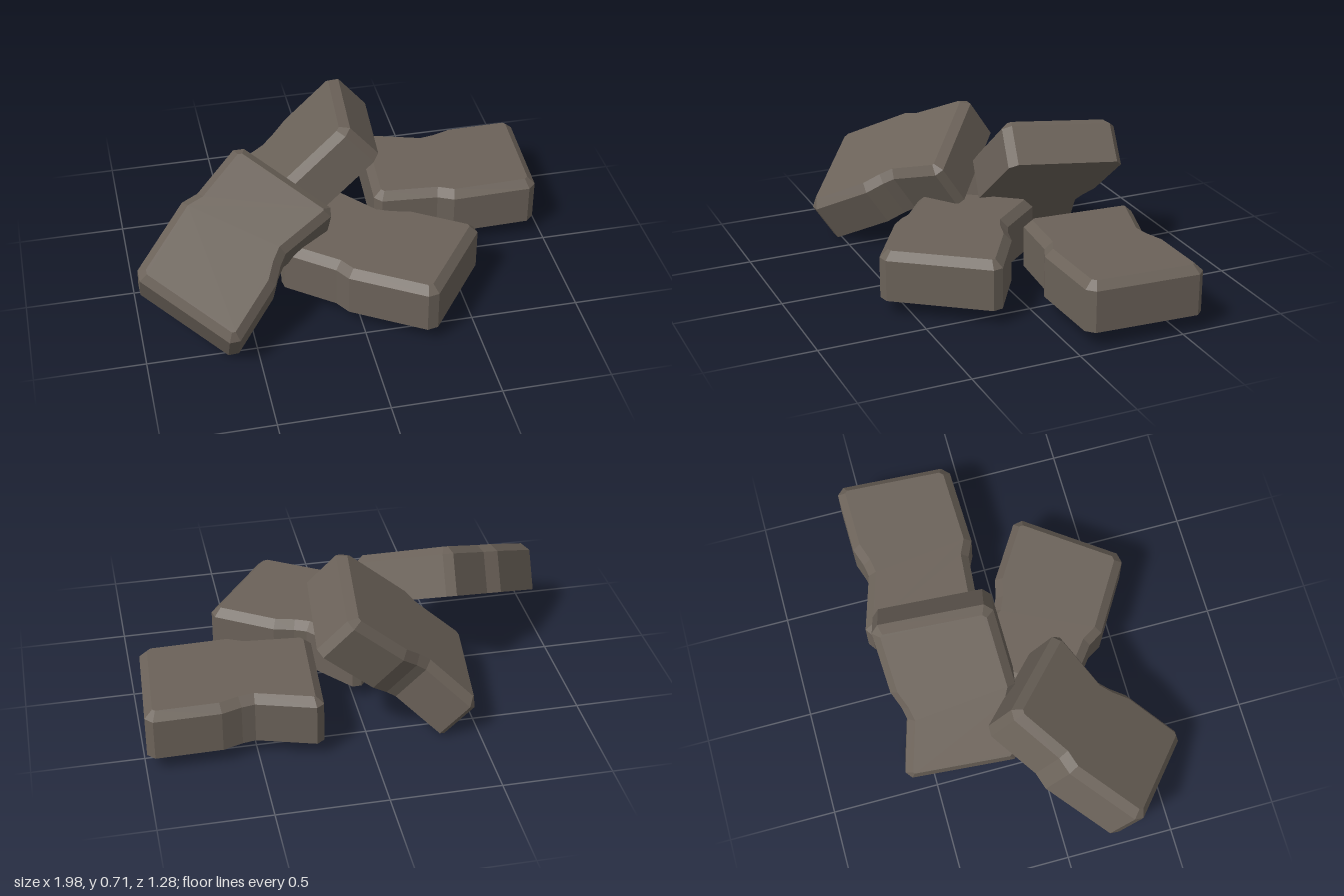
import * as THREE from 'three';

const THICK = 0.23, BEVEL = 0.036, CHAMFER = 0.035;

// Worn brick outline (x, z); the four true corners carry a chamfer flag.
const OUTLINE = [
  [-0.375, -0.315, 1], [-0.08, -0.225], [-0.02, -0.235], [0.07, -0.265], [0.405, -0.27, 1],
  [0.375, 0.285, 1], [-0.035, 0.295], [-0.11, 0.26], [-0.41, 0.235, 1],
];

function chamferedOutline() {
  const pts = OUTLINE.map(([x, z]) => new THREE.Vector2(x, z));
  const out = [];
  pts.forEach((p, i) => {
    if (!OUTLINE[i][2]) { out.push(p); return; }
    for (const q of [pts.at(i - 1), pts[(i + 1) % pts.length]]) {
      out.push(q.clone().sub(p).setLength(CHAMFER).add(p));
    }
  });
  return out;
}

// Mitred inward offset of the outline.
function inset(pts, d) {
  const n = pts.length;
  const normal = (a, b) => new THREE.Vector2(a.y - b.y, b.x - a.x).normalize();
  return pts.map((p, i) => {
    const n1 = normal(pts.at(i - 1), p), n2 = normal(p, pts[(i + 1) % n]);
    return n1.clone().add(n2).multiplyScalar(d / (1 + n1.dot(n2))).add(p);
  });
}

// Straight sides, bevelled top edge, flat underside.
function brickGeometry() {
  const base = chamferedOutline();
  const top = inset(base, BEVEL);
  const ring = (pts, y) => pts.map(p => [p.x, y, p.y]);
  const rings = [ring(base, 0), ring(base, THICK - BEVEL), ring(top, THICK)];
  const pos = [];
  const tri = (a, b, c) => pos.push(...a, ...b, ...c);
  for (let r = 0; r < 2; r++) {
    const lo = rings[r], hi = rings[r + 1];
    lo.forEach((a, i) => {
      const j = (i + 1) % lo.length;
      tri(a, hi[i], hi[j]);
      tri(a, hi[j], lo[j]);
    });
  }
  // Caps, each triangle turned to face outward
  const cap = (pts, r, up) => {
    for (const [a, b, c] of THREE.ShapeUtils.triangulateShape(pts, [])) {
      const A = pts[a], B = pts[b], C = pts[c];
      const facesDown = (B.x - A.x) * (C.y - A.y) - (B.y - A.y) * (C.x - A.x) > 0;
      if (facesDown === up) tri(r[a], r[c], r[b]);
      else tri(r[a], r[b], r[c]);
    }
  };
  cap(base, rings[0], false);
  cap(top, rings[2], true);
  const g = new THREE.BufferGeometry();
  g.setAttribute('position', new THREE.Float32BufferAttribute(pos, 3));
  g.computeVertexNormals();
  return g;
}

export function createModel() {
  const group = new THREE.Group();
  group.name = 'brickPile';
  const stone = new THREE.MeshStandardMaterial({ color: 0x6b6259 });
  stone.name = 'brown grey stone';
  const geometry = brickGeometry();

  // Each brick: position, length direction, width direction
  const bricks = [
    ['flatBackBrick', [0.59, 0.08, -0.34], [1, 0, 0], [0, 0, 1]],
    ['flatFrontBrick', [0.128, 0.078, 0.196], [0.839, 0, 0.545], [-0.545, 0, 0.839]],
    ['leaningFrontBrick', [-0.548, 0.262, 0.143], [-0.655, -0.419, 0.625], [-0.751, 0.342, -0.561]],
    ['leaningBackBrick', [-0.08, 0.29, -0.32], [0.746, 0.665, -0.04], [-0.056, 0.12, 0.99]],
  ];
  for (const [name, position, along, across] of bricks) {
    const x = new THREE.Vector3(...along).normalize();
    const y = new THREE.Vector3(...across).cross(x).normalize();
    const z = x.clone().cross(y);
    const brick = new THREE.Mesh(geometry, stone);
    brick.name = name;
    brick.quaternion.setFromRotationMatrix(new THREE.Matrix4().makeBasis(x, y, z));
    brick.position.set(...position);
    group.add(brick);
  }
  return group;
}
